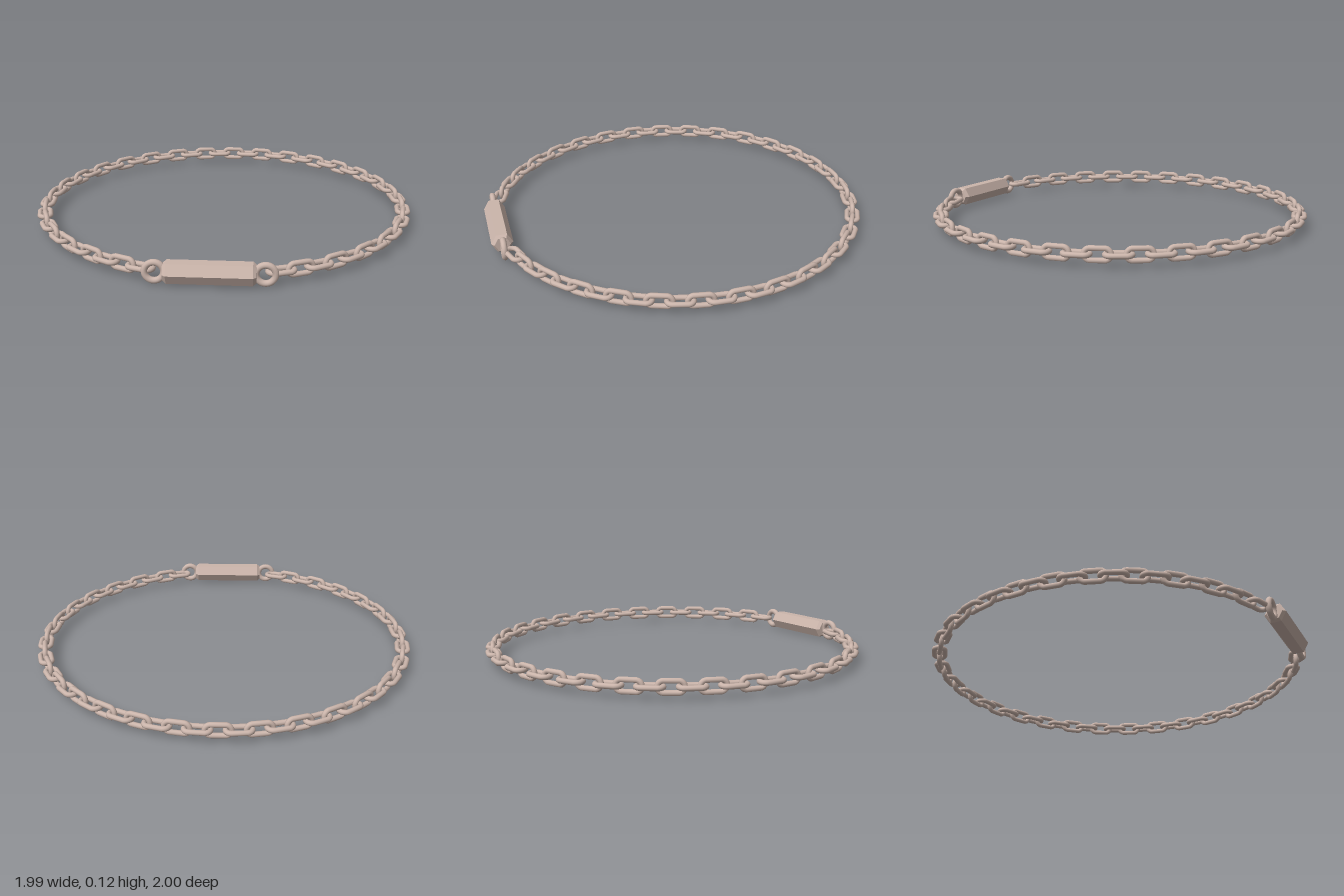
import * as THREE from 'three';

const MID_Y = 0.058;     // height of the chain's centre plane
const RADIUS = 0.955;    // radius of the loop
const PITCH = THREE.MathUtils.degToRad(5.55);
const SIDE_LINKS = 29;   // links on each side of the rear centre link

// Oval link in the xy plane: a torus pulled apart along x
function linkGeometry() {
  const segments = 24, straight = 0.0325;
  const geo = new THREE.TorusGeometry(0.0275, 0.0128, 10, segments);
  geo.rotateZ(Math.PI / segments);
  const pos = geo.attributes.position;
  for (let i = 0; i < pos.count; i++) {
    pos.setX(i, pos.getX(i) + Math.sign(pos.getX(i)) * straight);
  }
  return geo;
}

// Six-sided bar along x with bevelled ends and a ridge facing the front
function barGeometry() {
  const profile = [
    [0, -0.206], [0.04, -0.206], [0.054, -0.19],
    [0.054, 0.19], [0.04, 0.206], [0, 0.206],
  ].map(([r, y]) => new THREE.Vector2(r, y));
  const geo = new THREE.LatheGeometry(profile, 6).toNonIndexed();
  geo.rotateZ(Math.PI / 2);
  geo.computeVertexNormals();
  return geo;
}

export function createModel() {
  const model = new THREE.Group();
  model.name = 'chainBracelet';
  const metal = new THREE.MeshStandardMaterial({ color: 0xcbb5ab });
  metal.name = 'rose metal';

  const add = (parent, name, geo, x, y, z) => {
    const mesh = new THREE.Mesh(geo, metal);
    mesh.name = name;
    mesh.position.set(x, y, z);
    parent.add(mesh);
    return mesh;
  };

  // Chain: upright and flat links alternate, starting upright at the rear
  const chain = new THREE.Group();
  chain.name = 'chain';
  model.add(chain);
  const upright = linkGeometry();
  const flat = linkGeometry().rotateX(Math.PI / 2);
  for (let i = -SIDE_LINKS; i <= SIDE_LINKS; i++) {
    const a = i * PITCH;
    const isFlat = i % 2 !== 0;
    const link = add(chain, isFlat ? 'flatLink' : 'uprightLink', isFlat ? flat : upright,
      RADIUS * Math.sin(a), MID_Y, -RADIUS * Math.cos(a) - 0.005);
    link.rotation.y = -a;
  }

  // Front bar and the ring at each of its ends
  add(model, 'frontBar', barGeometry(), 0, MID_Y + 0.001, 0.943);
  const ring = new THREE.TorusGeometry(0.043, 0.015, 12, 32);
  for (const side of [-1, 1]) {
    add(model, side > 0 ? 'leftEndRing' : 'rightEndRing', ring, side * 0.245, MID_Y, 0.942);
  }
  return model;
}
